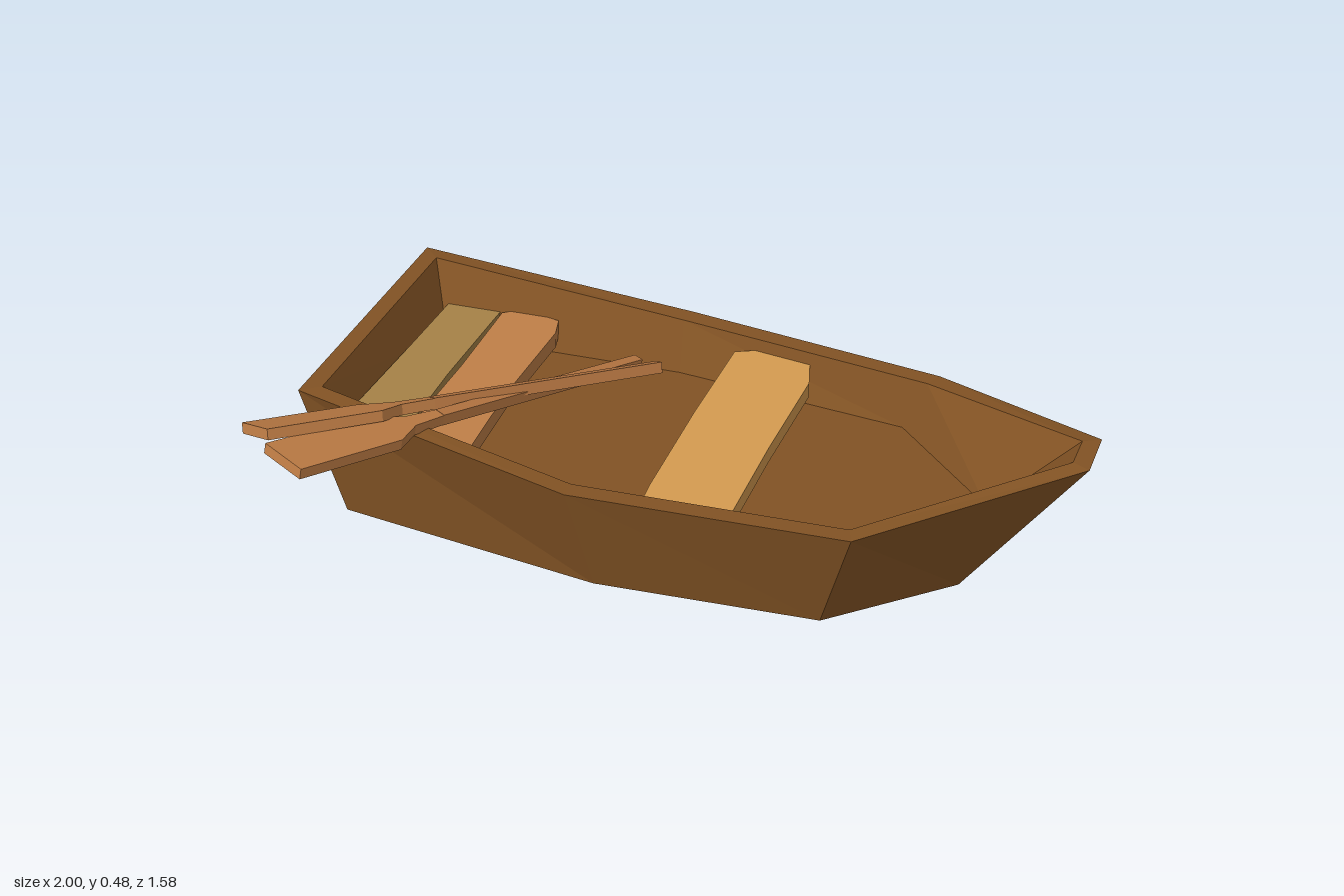
import * as THREE from 'three';

const paint = (color) => new THREE.MeshStandardMaterial({ color, flatShading: true });

function addMesh(parent, geometry, color, name) {
  const mesh = new THREE.Mesh(geometry, paint(color));
  mesh.name = name;
  parent.add(mesh);
  return mesh;
}

// Skin a series of closed loops, capping the first and the last
function loftLoops(loops) {
  const out = [];
  const tri = (a, b, c) => out.push(...a, ...b, ...c);
  const n = loops[0].length;
  for (let k = 0; k < loops.length - 1; k++) {
    const p = loops[k], q = loops[k + 1];
    for (let i = 0; i < n; i++) {
      const j = (i + 1) % n;
      tri(p[i], q[i], q[j]);
      tri(p[i], q[j], p[j]);
    }
  }
  const first = loops[0], last = loops[loops.length - 1];
  for (let i = 1; i < n - 1; i++) {
    tri(first[0], first[i], first[i + 1]);
    tri(last[0], last[i + 1], last[i]);
  }
  const g = new THREE.BufferGeometry();
  g.setAttribute('position', new THREE.Float32BufferAttribute(out, 3));
  g.computeVertexNormals();
  return g;
}

const extrude = (points, depth) => new THREE.ExtrudeGeometry(
  new THREE.Shape(points.map(([x, y]) => new THREE.Vector2(x, y))),
  { depth, bevelEnabled: false });

// Plank outline in x, z; its top lies at y = top
function addSeat(parent, outline, top, color, name) {
  const g = extrude(outline, 0.045).rotateX(Math.PI / 2).translate(0, top, 0);
  addMesh(parent, g, color, name);
}

// Oar from its grip to the blade end, rolled about its own length
function addOar(parent, grip, tip, roll, name) {
  const from = new THREE.Vector3(...grip), to = new THREE.Vector3(...tip);
  const along = to.clone().sub(from);
  const L = along.length();
  along.normalize();
  const side = new THREE.Vector3().crossVectors(along, new THREE.Vector3(0, 1, 0)).normalize();
  const normal = new THREE.Vector3().crossVectors(side, along);
  const oar = new THREE.Group();
  oar.name = name;
  oar.quaternion.setFromRotationMatrix(new THREE.Matrix4().makeBasis(side, along, normal));
  oar.position.copy(from);
  oar.rotateY(roll);
  const half = [[0.015, 0], [0.017, L - 0.5]];
  const shaft = [...half, ...half.map(([x, y]) => [-x, y]).reverse()];
  addMesh(oar, extrude(shaft, 0.03).translate(0, 0, -0.015), 0xb97843, 'shaft');
  const edge = [[0.017, L - 0.5], [0.025, L - 0.4], [0.068, L - 0.32], [0.071, L]];
  const blade = [...edge, ...edge.map(([x, y]) => [-x, y]).reverse()];
  addMesh(oar, extrude(blade, 0.028).translate(0, 0, -0.014), 0xc07e46, 'blade');
  parent.add(oar);
}

export function createModel() {
  const boat = new THREE.Group();
  boat.name = 'rowingBoat';

  // Hull: outer bottom, outer rim, inner rim, raised floor
  const rimHeights = [0.37, 0.315, 0.315, 0.41, 0.41, 0.315, 0.315, 0.37];
  const atRim = ([x, z], i) => [x, rimHeights[i], z];
  const bottom = [[-0.865, -0.155], [-0.243, -0.498], [0.325, -0.68], [0.7, -0.56],
    [0.74, -0.46], [0.59, -0.1], [0.08, 0.19], [-0.61, 0.42]].map(([x, z]) => [x, 0, z]);
  const outerRim = [[-1, -0.23], [-0.3, -0.57], [0.38, -0.79], [0.94, -0.73],
    [1, -0.6], [0.7, -0.07], [0.07, 0.28], [-0.69, 0.49]].map(atRim);
  const innerRim = [[-0.94, -0.21], [-0.29, -0.52], [0.38, -0.74], [0.91, -0.69],
    [0.95, -0.6], [0.665, -0.105], [0.05, 0.235], [-0.66, 0.435]].map(atRim);
  const floor = [[-0.84, -0.15], [-0.25, -0.465], [0.35, -0.685], [0.73, -0.56],
    [0.765, -0.48], [0.6, -0.12], [0.01, 0.2], [-0.61, 0.385]].map(([x, z]) => [x, 0.19, z]);
  addMesh(boat, loftLoops([bottom, outerRim, innerRim, floor]), 0x825324, 'hull');

  // Weathered seat planks with chipped ends
  addSeat(boat, [[-0.875, -0.205], [-0.78, -0.255], [-0.735, -0.26], [-0.71, -0.2], [-0.6, 0.06],
    [-0.475, 0.325], [-0.5, 0.365], [-0.525, 0.345], [-0.52, 0.39], [-0.62, 0.42], [-0.65, 0.36],
    [-0.78, 0.03]], 0.265, 0xa68247, 'sternSeat');
  addSeat(boat, [[-0.72, -0.25], [-0.69, -0.3], [-0.58, -0.33], [-0.54, -0.28], [-0.42, 0.01],
    [-0.3, 0.25], [-0.325, 0.3], [-0.345, 0.28], [-0.37, 0.3], [-0.43, 0.32], [-0.5, 0.25],
    [-0.6, 0.01]], 0.27, 0xc08048, 'rearSeat');
  addSeat(boat, [[-0.115, -0.535], [-0.075, -0.585], [0.07, -0.63], [0.13, -0.56], [0.26, -0.26],
    [0.39, 0.02], [0.36, 0.07], [0.33, 0.045], [0.325, 0.075], [0.2, 0.145], [0.16, 0.07],
    [0.01, -0.25]], 0.285, 0xd69c50, 'middleSeat');

  // Crossed oars resting over the side
  addOar(boat, [-0.265, 0.23, -0.4], [-0.535, 0.44, 0.75], 0.38, 'upperOar');
  addOar(boat, [-0.345, 0.21, -0.4], [-0.386, 0.44, 0.785], -0.04, 'lowerOar');
  return boat;
}
